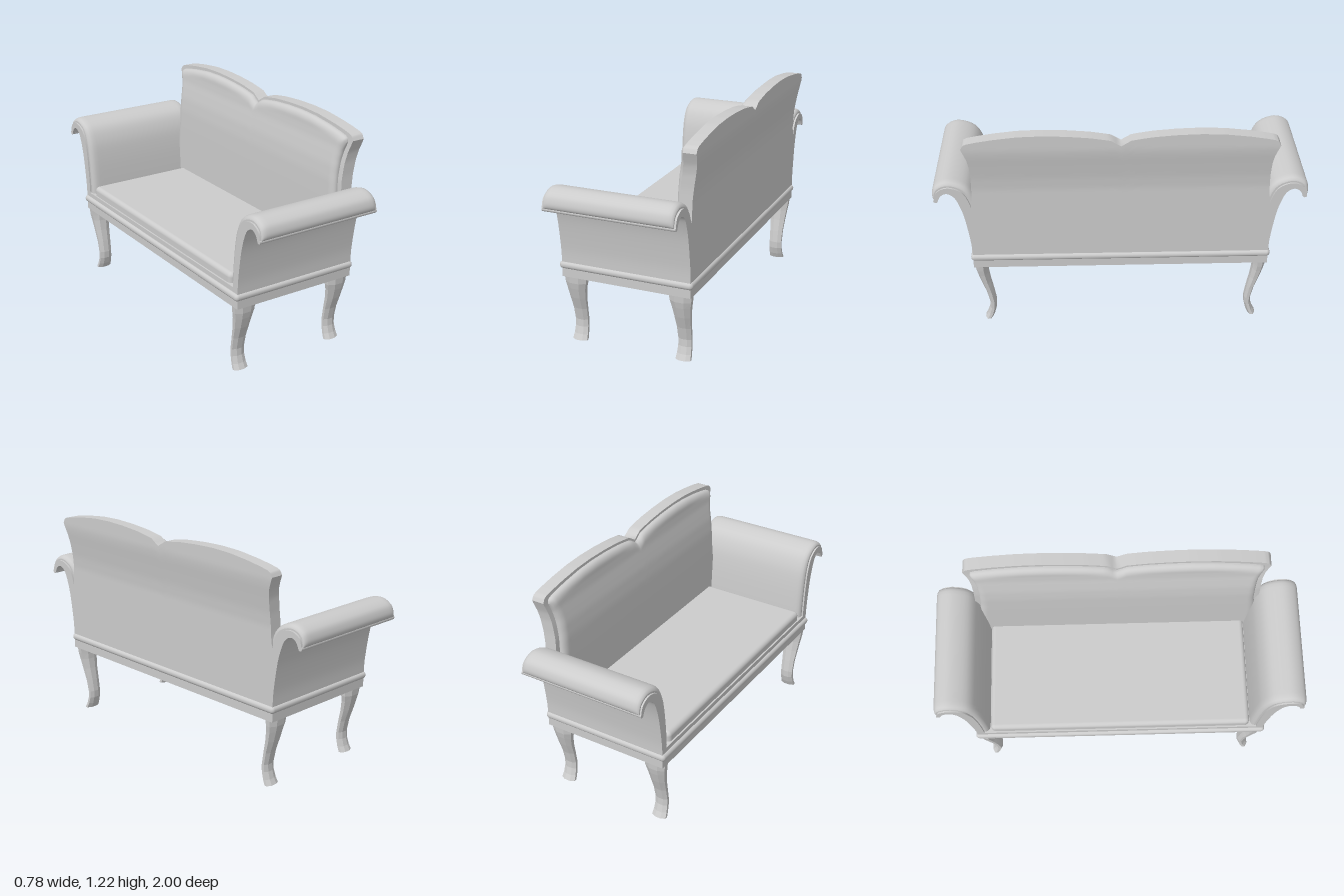
import * as THREE from 'three';
import { RoundedBoxGeometry } from 'three/addons/geometries/RoundedBoxGeometry.js';

const material = new THREE.MeshStandardMaterial({ color: 0xcccccc });
const lerp = THREE.MathUtils.lerp;
const ease = (t) => (1 - Math.cos(Math.PI * t)) / 2;

// Piecewise linear lookup in a table of [key, value] pairs.
function lookup(table, k) {
  if (k <= table[0][0]) return table[0][1];
  for (let i = 1; i < table.length; i++) {
    const [a, va] = table[i - 1], [b, vb] = table[i];
    if (k <= b) return lerp(va, vb, (k - a) / (b - a));
  }
  return table[table.length - 1][1];
}

// Rounded edge of an upholstered pad: 0 at the edge, 1 from distance r inwards.
function pillow(distance, r) {
  const e = 1 - Math.min(Math.max(distance / r, 0), 1);
  return Math.sqrt(1 - e * e);
}

// Subdivided box whose unit coordinates (u, v, w) are moved by a rule.
function warpedBox(nu, nv, nw, rule) {
  const g = new THREE.BoxGeometry(1, 1, 1, nu, nv, nw);
  const p = g.attributes.position;
  for (let i = 0; i < p.count; i++) {
    p.setXYZ(i, ...rule(p.getX(i) + 0.5, p.getY(i) + 0.5, p.getZ(i) + 0.5));
  }
  g.computeVertexNormals();
  return g;
}

function add(parent, name, geometry, x = 0, y = 0, z = 0) {
  const mesh = new THREE.Mesh(geometry, material);
  mesh.name = name;
  mesh.position.set(x, y, z);
  parent.add(mesh);
  return mesh;
}

const spline = (pts) => new THREE.SplineCurve(pts.map(([z, y]) => new THREE.Vector2(z, y)));

// Scrolled arm, as curves in (z, y) swept along x.
const armOuter = spline([[0.805, 0.46], [0.81, 0.55], [0.832, 0.7], [0.857, 0.79], [0.882, 0.838], [0.918, 0.858], [0.95, 0.843], [0.967, 0.81]]);
const armInner = spline([[0.765, 0.46], [0.768, 0.55], [0.782, 0.7], [0.803, 0.8], [0.84, 0.865], [0.91, 0.892], [0.968, 0.868], [0.987, 0.815]]);
const armSoft = spline([[0.73, 0.46], [0.733, 0.55], [0.747, 0.7], [0.77, 0.81], [0.818, 0.888], [0.91, 0.921], [0.981, 0.892], [1.002, 0.83]]);

function makeArm() {
  const arm = new THREE.Group();
  add(arm, 'armFrame', warpedBox(1, 40, 1, (u, v, w) => {
    const p = armInner.getPoint(v).lerp(armOuter.getPoint(v), w);
    return [lerp(-0.375, 0.35, u), p.y, p.x];
  }));
  add(arm, 'armPad', warpedBox(24, 44, 1, (u, v, w) => {
    const a = ease(u), t = lerp(0.03, 0.985, ease(v));
    const x = lerp(-0.366, 0.34, a);
    const edge = pillow(Math.min(x + 0.366, 0.34 - x), 0.035) * pillow(0.985 - t, 0.05);
    const p = armInner.getPoint(t).lerp(armSoft.getPoint(t), (1 - w) * lerp(0.3, 1, edge));
    return [x, p.y, p.x];
  }));
  const roll = new THREE.CylinderGeometry(0.012, 0.012, 0.725, 12).rotateZ(Math.PI / 2);
  add(arm, 'armScrollTip', roll, -0.0125, 0.815, 0.977);
  return arm;
}

// Backrest outline: half width by height, and the double-humped top by position.
const halfWidth = [[0.46, 0.805], [0.7, 0.802], [0.77, 0.795], [0.84, 0.786], [0.95, 0.783], [1.03, 0.786], [1.08, 0.795], [1.12, 0.81], [1.145, 0.82]];
const topEdge = [[0, 1.153], [0.02, 1.16], [0.05, 1.183], [0.1, 1.191], [0.2, 1.204], [0.35, 1.214], [0.5, 1.218], [0.65, 1.214], [0.8, 1.2], [0.9, 1.187], [0.96, 1.177], [0.985, 1.168], [1, 1.145]];
// Curved side profiles as [height, x].
const backRear = [[0.8, 0.35], [0.88, 0.35], [0.95, 0.357], [1.03, 0.37], [1.09, 0.381], [1.13, 0.386]];
const backFront = [[0.8, 0.28], [0.92, 0.283], [1.0, 0.293], [1.06, 0.304], [1.12, 0.313], [1.18, 0.317]];
const padFront = [[0.8, 0.248], [0.92, 0.25], [1.0, 0.257], [1.06, 0.268], [1.1, 0.276], [1.15, 0.281]];

function makeBackrest() {
  const back = new THREE.Group();
  back.name = 'backrest';
  add(back, 'backFrame', warpedBox(1, 40, 100, (u, v, w) => {
    const s = -Math.cos(Math.PI * w);
    const y = lerp(0.46, lookup(topEdge, Math.abs(s)), v);
    return [lerp(lookup(backFront, y), lookup(backRear, y), u), y, s * lookup(halfWidth, y)];
  }));
  add(back, 'backPad', warpedBox(1, 48, 100, (u, v, w) => {
    const s = -Math.cos(Math.PI * w);
    const top = lookup(topEdge, Math.abs(s)) - 0.015;
    const y = lerp(0.5, top, ease(v));
    const half = lookup(halfWidth, y) - 0.03;
    const edge = pillow(top - y, 0.04) * pillow(half * (1 - Math.abs(s)), 0.04);
    const rear = lookup(backFront, y) + 0.005;
    return [lerp(rear, lookup(padFront, y), (1 - u) * lerp(0.3, 1, edge)), y, s * half];
  }));
  return back;
}

// Curved leg: rows of [y, xMin, xMax, zMin, zMax], faceted with eight sides.
const legRows = [
  [0, 0.257, 0.341, 0.725, 0.766], [0.03, 0.26, 0.338, 0.712, 0.75], [0.07, 0.262, 0.336, 0.701, 0.738],
  [0.11, 0.262, 0.336, 0.7, 0.736], [0.18, 0.26, 0.338, 0.711, 0.751], [0.25, 0.255, 0.344, 0.725, 0.775],
  [0.31, 0.247, 0.351, 0.734, 0.792], [0.345, 0.238, 0.357, 0.736, 0.8], [0.385, 0.235, 0.361, 0.736, 0.803],
];

function legGeometry() {
  const n = legRows.length - 1;
  const g = new THREE.CylinderGeometry(1, 1, 1, 8, n, false, Math.PI / 8);
  const p = g.attributes.position, k = 1 / Math.cos(Math.PI / 8);
  for (let i = 0; i < p.count; i++) {
    const [y, x0, x1, z0, z1] = legRows[Math.round((p.getY(i) + 0.5) * n)];
    p.setXYZ(i, lerp(x0, x1, 0.5 + p.getX(i) * k / 2), y, lerp(z0, z1, 0.5 + p.getZ(i) * k / 2));
  }
  const flat = g.toNonIndexed();
  flat.computeVertexNormals();
  return flat;
}

export function createModel() {
  const sofa = new THREE.Group();
  sofa.name = 'sofa';

  // Base with a bead moulding and the seat cushion on top
  add(sofa, 'base', new THREE.BoxGeometry(0.725, 0.11, 1.61), -0.0125, 0.435, 0);
  add(sofa, 'baseMoulding', new RoundedBoxGeometry(0.752, 0.04, 1.632, 4, 0.019), -0.014, 0.445, 0);
  add(sofa, 'seatCushion', new RoundedBoxGeometry(0.64, 0.085, 1.45, 5, 0.025), -0.046, 0.501, 0);

  sofa.add(makeBackrest());

  // Mirrored arms and legs
  const leg = legGeometry();
  for (const side of [1, -1]) {
    const arm = makeArm();
    arm.name = side > 0 ? 'leftArm' : 'rightArm';
    arm.scale.z = side;
    sofa.add(arm);
    for (const end of [1, -1]) {
      const mesh = add(sofa, end > 0 ? 'backrestLeg' : 'seatFrontLeg', leg, -0.0145, 0, 0);
      mesh.scale.set(end, 1, side);
    }
  }
  return sofa;
}
